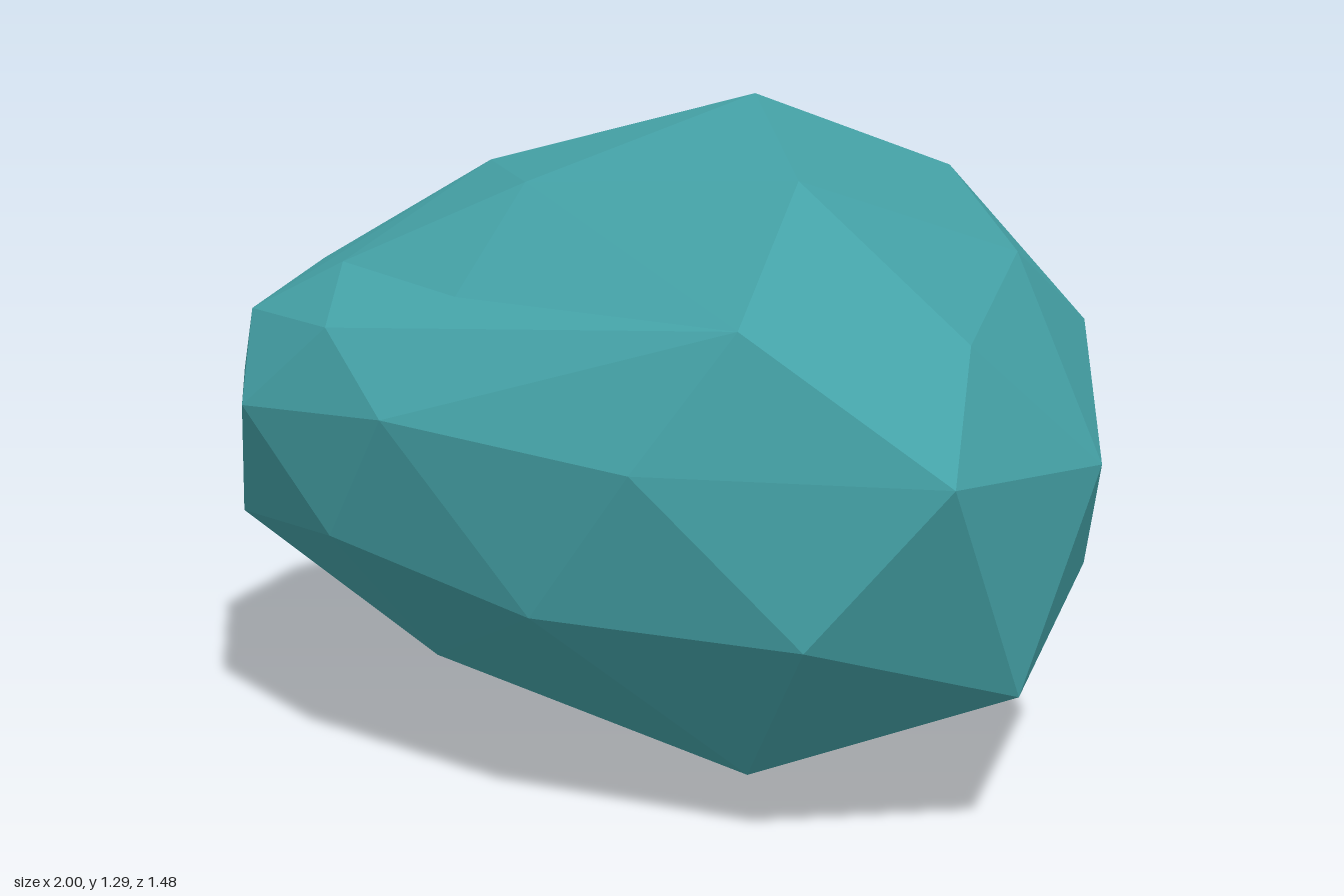
import * as THREE from 'three';
import { ConvexGeometry } from 'three/addons/geometries/ConvexGeometry.js';

const toPoints = (list) => list.map((p) => new THREE.Vector3(...p));

// Corners of the stone, grouped from the ground up
const base = [
  [-0.18, 0, -0.14], [0.5, 0.11, 0.31], [0.5, 0.11, -0.2], [-0.31, 0.16, -0.61],
  [-0.28, 0.18, 0.36], [-0.93, 0.2, 0.04], [0.95, 0.31, 0.08],
];
const lowerBelt = [
  [0.78, 0.45, 0.48], [0.26, 0.44, 0.64], [-0.22, 0.51, 0.69], [-0.74, 0.41, 0.46], [-1, 0.46, 0.09],
  [-0.82, 0.41, -0.39], [-0.24, 0.56, -0.74], [0.28, 0.5, -0.69], [0.75, 0.42, -0.38],
];
const upperBelt = [
  [1, 0.76, 0.34], [-0.82, 0.68, 0.38], [-0.91, 0.69, -0.11],
  [-0.54, 0.79, -0.57], [0, 0.9, -0.73], [0.53, 0.82, -0.66], [0.93, 0.69, -0.18],
];
const shoulder = [
  [0.87, 0.96, 0.14], [-0.77, 0.89, 0.2], [-0.71, 0.91, -0.21],
  [-0.27, 1.07, -0.45], [0.22, 1.1, -0.61], [0.61, 1.02, -0.33],
];
const crown = [[0.11, 1.29, -0.14], [0.56, 1.23, 0.25], [-0.05, 1.16, 0.33], [-0.42, 1.12, 0.06]];

// Corners shared by the stone and the ledge on its front
const ledgeRoot = [
  [0.64, 1.01, 0.5], [-0.4, 0.98, 0.48], [-0.59, 0.87, 0.55],
  [-0.44, 0.73, 0.71], [-0.02, 0.78, 0.74], [0.5, 0.75, 0.63],
];
const ledgeTip = [[-0.23, 0.91, 0.68]];

export function createModel() {
  const group = new THREE.Group();
  group.name = 'rock';
  const stone = new THREE.MeshStandardMaterial({ color: 0x45a3a8 });
  stone.name = 'teal stone';

  // Faceted solid around a set of corners
  const addFacetedSolid = (name, corners) => {
    const mesh = new THREE.Mesh(new ConvexGeometry(toPoints(corners)), stone);
    mesh.name = name;
    group.add(mesh);
  };

  addFacetedSolid('rockBody', [...base, ...lowerBelt, ...upperBelt, ...shoulder, ...crown, ...ledgeRoot]);
  // The ledge juts out below the crown and leaves a crease above it
  addFacetedSolid('frontLedge', [...ledgeRoot, ...ledgeTip]);
  return group;
}
